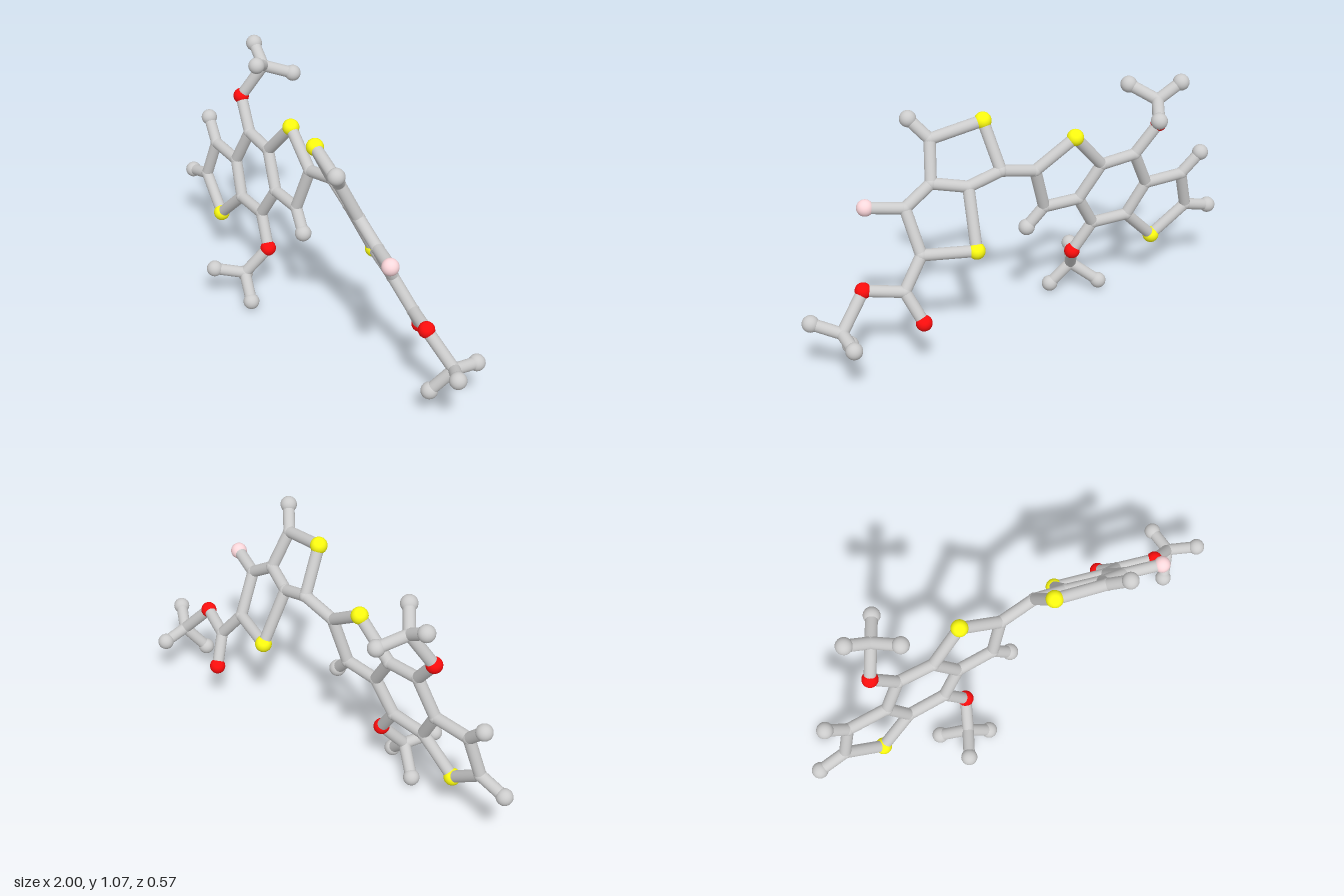
import * as THREE from 'three';

const BOND_R = 0.025;
const STYLE = {
  carbon: { r: 0.027, color: 0xcccccc },
  end: { r: 0.035, color: 0xcccccc },
  sulfur: { r: 0.036, color: 0xffff10 },
  oxygen: { r: 0.034, color: 0xff0d0d },
  fluorine: { r: 0.035, color: 0xffd9dd },
};

// The two flat ring systems each lie in a tilted plane
const leftPlane = (x, y) => 0.094 + 0.044 * x - 0.159 * y;
const rightPlane = (x, y) => -0.442 + 0.315 * x + 0.511 * y;

// Each part: atoms as name: [kind, x, y, z?]; a missing z comes from the plane.
// Chains list the atoms joined one after another.
const PARTS = {
  tripleRing: {
    plane: leftPlane,
    atoms: {
      s1: ['sulfur', -0.68, 0.23], a2: ['carbon', -0.84, 0.355], a3: ['carbon', -0.79, 0.53],
      b1: ['carbon', -0.61, 0.525], b2: ['carbon', -0.53, 0.69], b3: ['carbon', -0.37, 0.675],
      b4: ['carbon', -0.275, 0.525], b5: ['carbon', -0.36, 0.38], b6: ['carbon', -0.53, 0.38],
      s2: ['sulfur', -0.225, 0.84], c2: ['carbon', -0.05, 0.72], c3: ['carbon', -0.11, 0.525],
      h1: ['end', -0.965, 0.32], h2: ['end', -0.875, 0.62], h3: ['end', -0.035, 0.44],
    },
    chains: ['b1 b2 b3 b4 b5 b6 b1', 'b6 s1 a2 a3 b1', 'b3 s2 c2 c3 b4', 'a2 h1', 'a3 h2', 'c3 h3'],
  },
  upperMethoxy: {
    plane: leftPlane,
    atoms: {
      o1: ['oxygen', -0.63, 0.82], m1: ['carbon', -0.565, 0.97, -0.14],
      h4: ['end', -0.665, 1.035, -0.16], h5: ['end', -0.48, 1.025, -0.05], h6: ['end', -0.5, 0.93, -0.25],
    },
    chains: ['b2 o1 m1 h4', 'm1 h5', 'm1 h6'],
  },
  lowerMethoxy: {
    plane: leftPlane,
    atoms: {
      o2: ['oxygen', -0.275, 0.25], m2: ['carbon', -0.325, 0.13, 0.135],
      h7: ['end', -0.39, 0.16, 0.25], h8: ['end', -0.43, 0.045, 0.067], h9: ['end', -0.235, 0.037, 0.162],
    },
    chains: ['b5 o2 m2 h7', 'm2 h8', 'm2 h9'],
  },
  doubleRing: {
    plane: rightPlane,
    atoms: {
      d1: ['carbon', 0.11, 0.757], s3: ['sulfur', 0.135, 0.945], d2: ['carbon', 0.355, 0.895],
      d3: ['carbon', 0.39, 0.735], d4: ['carbon', 0.25, 0.71], e1: ['carbon', 0.51, 0.655],
      e2: ['carbon', 0.49, 0.48], s4: ['sulfur', 0.275, 0.475],
      h10: ['end', 0.42, 0.975], f1: ['fluorine', 0.66, 0.67],
    },
    chains: ['c2 d1 s3 d2 d3 d4 d1', 'd3 e1 e2 s4 d4', 'd2 h10', 'e1 f1'],
  },
  ester: {
    plane: rightPlane,
    atoms: {
      g1: ['carbon', 0.585, 0.355], o3: ['oxygen', 0.54, 0.235], o4: ['oxygen', 0.74, 0.375],
      m3: ['carbon', 0.86, 0.237, -0.065],
      h11: ['end', 0.80, 0.128, 0.005], h12: ['end', 0.963, 0.277, 0.005], h13: ['end', 0.86, 0.22, -0.182],
    },
    chains: ['e2 g1 o3', 'g1 o4 m3 h11', 'm3 h12', 'm3 h13'],
  },
};

export function createModel() {
  const model = new THREE.Group();
  model.name = 'molecule';

  // Shared geometry and materials per atom kind
  const balls = {}, mats = {};
  for (const [kind, { r, color }] of Object.entries(STYLE)) {
    balls[kind] = new THREE.SphereGeometry(r, 24, 16);
    mats[kind] = new THREE.MeshStandardMaterial({ color });
  }
  const rod = new THREE.CylinderGeometry(BOND_R, BOND_R, 1, 20);
  const up = new THREE.Vector3(0, 1, 0);
  const place = {};

  // Straight rod from one atom to the next
  const addBond = (group, a, b) => {
    const dir = b.clone().sub(a);
    const mesh = new THREE.Mesh(rod, mats.carbon);
    mesh.name = 'bond';
    mesh.position.copy(a).add(b).multiplyScalar(0.5);
    mesh.scale.y = dir.length();
    mesh.quaternion.setFromUnitVectors(up, dir.normalize());
    group.add(mesh);
  };

  for (const [name, { plane, atoms, chains }] of Object.entries(PARTS)) {
    const group = new THREE.Group();
    group.name = name;
    for (const [id, [kind, x, y, z = plane(x, y)]] of Object.entries(atoms)) {
      const ball = new THREE.Mesh(balls[kind], mats[kind]);
      ball.name = kind + 'Atom';
      ball.position.set(x, y, z);
      place[id] = ball.position;
      group.add(ball);
    }
    for (const chain of chains) {
      const ids = chain.split(' ');
      for (let i = 1; i < ids.length; i++) addBond(group, place[ids[i - 1]], place[ids[i]]);
    }
    model.add(group);
  }
  return model;
}
